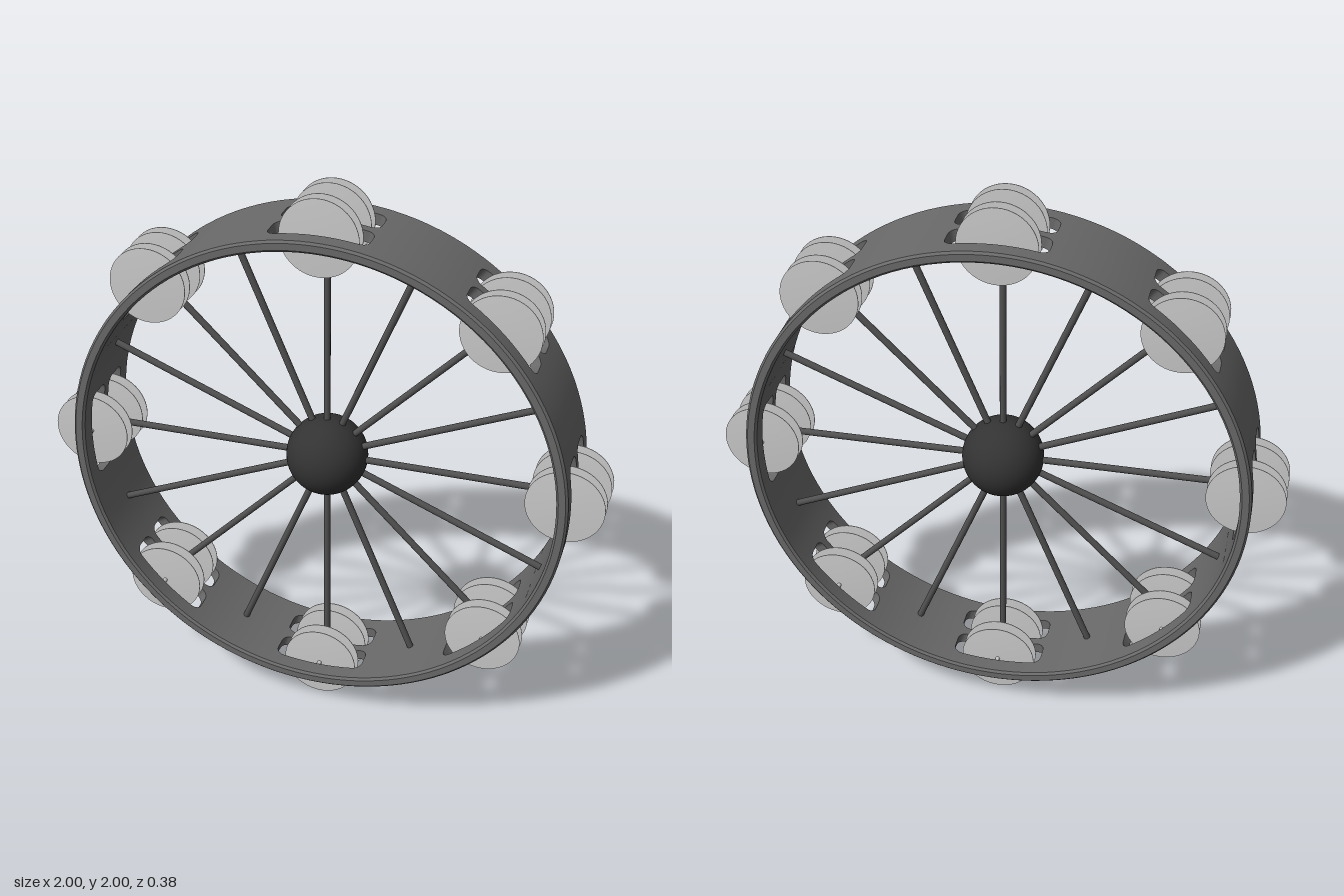
import * as THREE from 'three';
import { toCreasedNormals } from 'three/addons/utils/BufferGeometryUtils.js';

const OUTER = 0.888, INNER = 0.848, HALF_WIDTH = 0.19, BEVEL = 0.008;
const STATIONS = 8;
const SLOT = { z: 0.071, half: 0.054, angle: 0.195, corner: 0.032 };
const DISC = { ring: 0.863, radius: 0.137 };

const material = (color) => new THREE.MeshStandardMaterial({ color });

// Angular columns around the hoop: h is the slot half height, slot marks an open span to the next column
function hoopColumns() {
  const columns = [];
  const step = (Math.PI * 2) / STATIONS;
  const cornerAngle = SLOT.corner / OUTER;
  const endH = SLOT.half - SLOT.corner;
  const N = 6;
  for (let s = 0; s < STATIONS; s++) {
    const mid = s * step;
    const opening = [];
    for (let i = 0; i <= N; i++) {
      const t = (i / N) * Math.PI / 2;
      opening.push([SLOT.angle - cornerAngle * (1 - Math.cos(t)), endH + SLOT.corner * Math.sin(t)]);
    }
    opening.forEach(([a, h]) => columns.push({ a: mid - a, h, slot: true }));
    const flat = SLOT.angle - cornerAngle;
    for (let i = 1; i < 8; i++) columns.push({ a: mid + flat * (i / 4 - 1), h: SLOT.half, slot: true });
    opening.reverse().forEach(([a, h], i) => columns.push({ a: mid + a, h, slot: i < N }));
    const gap = step - 2 * SLOT.angle;
    for (let i = 1; i < 8; i++) columns.push({ a: mid + SLOT.angle + gap * i / 8, h: endH, slot: false });
  }
  columns.push({ ...columns[0], a: columns[0].a + Math.PI * 2 });
  return columns;
}

// Section outline as [r, z] points, up the outside and back down the inside
function sectionLoop(h, from, to) {
  const z = [-HALF_WIDTH, -SLOT.z - h, -SLOT.z + h, SLOT.z - h, SLOT.z + h, HALF_WIDTH];
  const outside = [], inside = [];
  for (let i = from; i <= to; i++) {
    if (i === 0 || i === 5) {
      const dir = i === 0 ? 1 : -1;
      const pair = [[BEVEL, z[i]], [0, z[i] + dir * BEVEL]];
      if (i === 5) pair.reverse();
      pair.forEach(([cut, zz]) => {
        outside.push([OUTER - cut, zz]);
        inside.unshift([INNER + cut, zz]);
      });
    } else {
      outside.push([OUTER, z[i]]);
      inside.unshift([INNER, z[i]]);
    }
  }
  return [...outside, ...inside];
}

function hoopGeometry() {
  const pos = [];
  const point = (a, [r, z]) => [r * Math.cos(a), r * Math.sin(a), z];
  const quad = (p, q, r, s) => pos.push(...p, ...q, ...r, ...p, ...r, ...s);
  const columns = hoopColumns();
  for (let i = 0; i < columns.length - 1; i++) {
    const c = columns[i], d = columns[i + 1];
    const spans = c.slot ? [[0, 1], [2, 3], [4, 5]] : [[0, 5]];
    for (const [from, to] of spans) {
      const A = sectionLoop(c.h, from, to), B = sectionLoop(d.h, from, to);
      A.forEach((p, k) => {
        const n = (k + 1) % A.length;
        quad(point(c.a, p), point(d.a, B[k]), point(d.a, B[n]), point(c.a, A[n]));
      });
    }
    // Slot end walls where a span changes between solid and open
    if (c.slot !== d.slot) {
      for (const side of [-1, 1]) {
        const z0 = side * SLOT.z - d.h, z1 = side * SLOT.z + d.h;
        const wall = [[INNER, z0], [INNER, z1], [OUTER, z1], [OUTER, z0]].map((p) => point(d.a, p));
        if (c.slot) wall.reverse();
        quad(...wall);
      }
    }
  }
  const geometry = new THREE.BufferGeometry();
  geometry.setAttribute('position', new THREE.Float32BufferAttribute(pos, 3));
  // The first column opens a slot, so its wall is matched by the closing column
  return toCreasedNormals(geometry, 0.6);
}

export function createModel() {
  const model = new THREE.Group();
  model.name = 'jingleWheel';
  const wheel = new THREE.Group();
  wheel.name = 'wheel';
  wheel.position.y = 1;
  model.add(wheel);

  const add = (parent, name, geometry, mat) => {
    const mesh = new THREE.Mesh(geometry, mat);
    mesh.name = name;
    parent.add(mesh);
    return mesh;
  };

  const hoopMat = material(0x696969);
  const hubMat = material(0x333333);
  const spokeMat = material(0x505050);
  const discMat = material(0xcccccc);

  add(wheel, 'hoop', hoopGeometry(), hoopMat);
  add(wheel, 'hub', new THREE.SphereGeometry(0.145, 48, 32), hubMat);

  // Spokes from the hub to the inside of the hoop
  const spokeGeo = new THREE.CylinderGeometry(0.012, 0.012, 0.74, 12);
  spokeGeo.translate(0, 0.49, 0);
  for (let i = 0; i < 16; i++) {
    add(wheel, 'spoke', spokeGeo, spokeMat).rotation.z = (i * Math.PI) / 8;
  }

  // Thin lens-shaped jingles, four on a pin at each station
  const profile = [[0, -0.005], [0.05, -0.0045], [0.1, -0.003], [DISC.radius, -0.0012],
    [DISC.radius, 0.0012], [0.1, 0.003], [0.05, 0.0045], [0, 0.005]];
  const discGeo = toCreasedNormals(
    new THREE.LatheGeometry(profile.map(([x, y]) => new THREE.Vector2(x, y)), 48), 0.6);
  discGeo.rotateX(Math.PI / 2);
  const pinGeo = new THREE.CylinderGeometry(0.008, 0.008, 0.28, 12);
  pinGeo.rotateX(Math.PI / 2);
  for (let s = 0; s < STATIONS; s++) {
    const station = new THREE.Group();
    station.name = 'jingleStation';
    const a = (s * Math.PI * 2) / STATIONS;
    station.position.set(DISC.ring * Math.cos(a), DISC.ring * Math.sin(a), 0);
    station.rotation.z = a;
    add(station, 'jinglePin', pinGeo, discMat);
    for (const z of [-0.093, -0.048, 0.048, 0.093]) add(station, 'jingle', discGeo, discMat).position.z = z;
    wheel.add(station);
  }
  return model;
}
